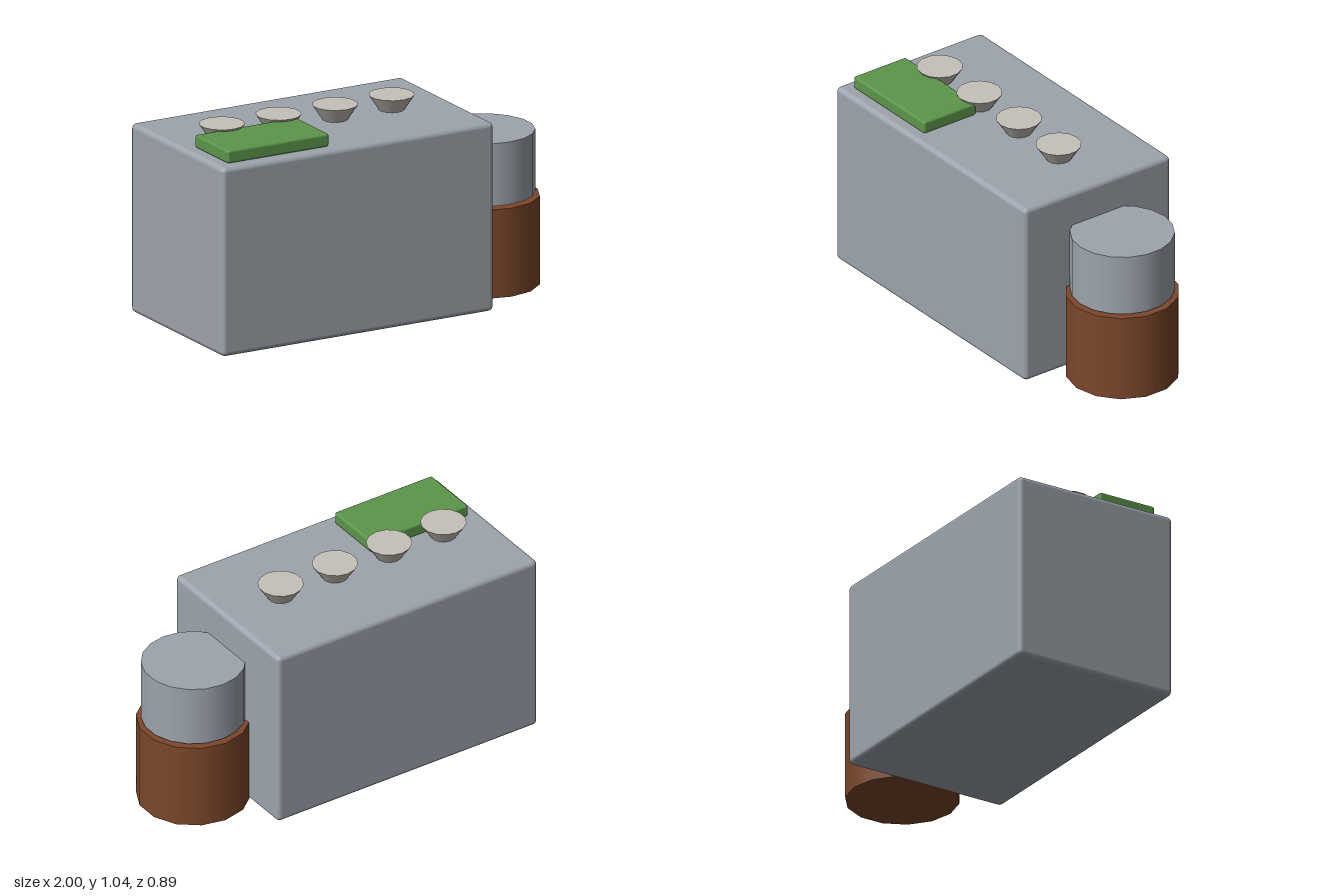
import * as THREE from 'three';
import { RoundedBoxGeometry } from 'three/addons/geometries/RoundedBoxGeometry.js';

function material(name, color) {
  const m = new THREE.MeshStandardMaterial({ color });
  m.name = name;
  return m;
}

export function createModel() {
  const group = new THREE.Group();
  const grey = material('steel grey', 0x9da4ad);
  const brown = material('rust brown', 0x7c472a);
  const orange = material('bright orange', 0xc8561e);
  const green = material('leaf green', 0x5c964a);
  const stone = material('warm pale grey', 0xc6c0b8);

  const add = (name, geometry, mat, x, y, z) => {
    const mesh = new THREE.Mesh(geometry, mat);
    mesh.name = name;
    mesh.position.set(x, y, z);
    group.add(mesh);
  };
  // Upright cylinder spanning y0 to y1
  const drum = (name, rTop, rBottom, y0, y1, sides, mat, x) =>
    add(name, new THREE.CylinderGeometry(rTop, rBottom, y1 - y0, sides), mat, x, (y0 + y1) / 2, 0);

  // Main block with softened edges
  add('body', new RoundedBoxGeometry(1.53, 0.96, 0.89, 3, 0.025), grey, -0.235, 0.48, 0);

  // Side column: base, recessed ring and upper drum
  const columnX = 0.726;
  drum('columnBase', 0.28, 0.28, 0, 0.45, 14, brown, columnX);
  drum('columnRing', 0.217, 0.217, 0.44, 0.47, 16, orange, columnX);
  drum('columnTop', 0.256, 0.256, 0.462, 0.78, 18, grey, columnX);

  // Row of flared cups along the top
  for (let i = 0; i < 4; i++) {
    drum('cup', 0.113, 0.06, 0.955, 1.036, 14, stone, -0.745 + i * 0.319);
  }

  // Flat slab at the front corner of the top
  add('slab', new RoundedBoxGeometry(0.572, 0.066, 0.318, 2, 0.012), green, -0.65, 0.992, 0.224);

  return group;
}
